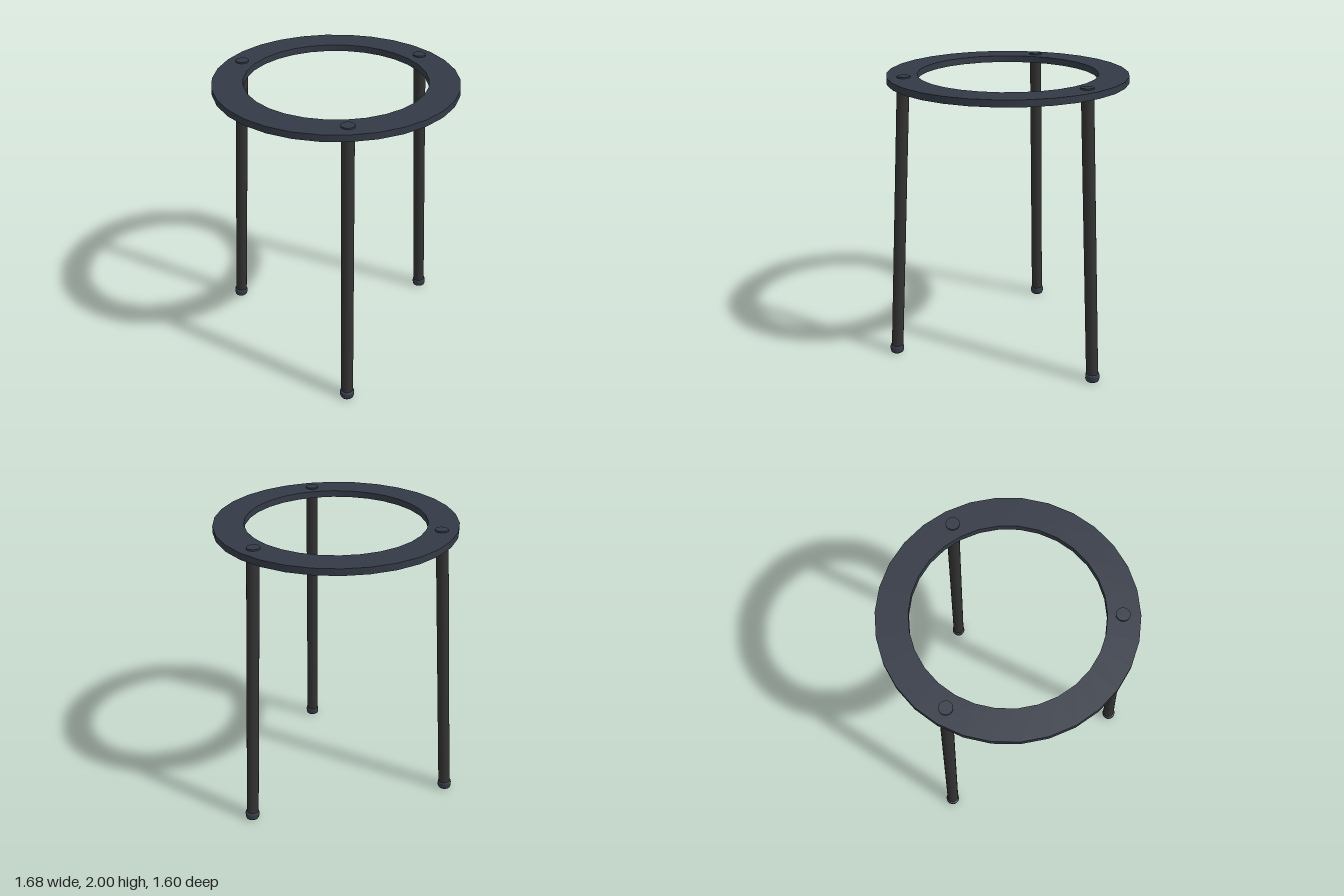
import * as THREE from 'three';

const SIDES = 30, CENTRE_X = 0.035;
const RING_BOTTOM = 1.945, RING_TOP = 1.99, OUTER = 0.806, INNER = 0.603;

export function createModel() {
  const slate = new THREE.MeshStandardMaterial({ color: 0x343a46, side: THREE.DoubleSide });
  slate.name = 'dark slate';
  const iron = new THREE.MeshStandardMaterial({ color: 0x333333 });
  iron.name = 'dark iron';

  const model = new THREE.Group();
  model.name = 'tripodStand';
  const add = (parent, name, geometry, material) => {
    const mesh = new THREE.Mesh(geometry, material);
    mesh.name = name;
    parent.add(mesh);
    return mesh;
  };

  // Flat ring: upper face, lower face, outer and inner edges
  const ring = new THREE.Group();
  ring.name = 'ring';
  ring.position.x = CENTRE_X;
  model.add(ring);
  const face = (turn, y) =>
    new THREE.RingGeometry(INNER, OUTER, SIDES, 1).rotateX(turn).translate(0, y, 0);
  add(ring, 'ringTop', face(-Math.PI / 2, RING_TOP), slate);
  add(ring, 'ringUnderside', face(Math.PI / 2, RING_BOTTOM), iron);
  for (const [name, radius] of [['ringOuterEdge', OUTER], ['ringInnerEdge', INNER]]) {
    const edge = new THREE.CylinderGeometry(radius, radius, RING_TOP - RING_BOTTOM, SIDES, 1, true);
    edge.rotateY(Math.PI / 2).translate(0, (RING_TOP + RING_BOTTOM) / 2, 0);
    add(ring, name, edge, slate);
  }

  // Rounded foot profile, from the floor up
  const footProfile = [
    [0, 0], [0.036, 0], [0.044, 0.006], [0.048, 0.02], [0.048, 0.045], [0.044, 0.058], [0, 0.058],
  ].map(([r, y]) => new THREE.Vector2(r, y));

  // Three splayed legs, each with a foot and a rivet head above the ring
  const up = new THREE.Vector3(0, 1, 0);
  for (let i = 0; i < 3; i++) {
    const angle = Math.PI / 3 + (i * 2 * Math.PI) / 3;
    const at = (r, y) => new THREE.Vector3(CENTRE_X + r * Math.cos(angle), y, -0.005 + r * Math.sin(angle));
    const foot = at(0.825, 0), base = at(0.823, 0.03), top = at(0.703, 1.98);

    const leg = new THREE.Group();
    leg.name = 'leg' + (i + 1);
    model.add(leg);

    const axis = top.clone().sub(base);
    const tube = add(leg, 'legTube', new THREE.CylinderGeometry(0.041, 0.041, axis.length(), 20), iron);
    tube.position.copy(base).addScaledVector(axis, 0.5);
    tube.quaternion.setFromUnitVectors(up, axis.normalize());

    add(leg, 'foot', new THREE.LatheGeometry(footProfile, 20), slate).position.copy(foot);
    add(leg, 'rivetHead', new THREE.CylinderGeometry(0.044, 0.044, 0.03, 24), slate)
      .position.copy(at(0.7, 1.985));
  }
  return model;
}
